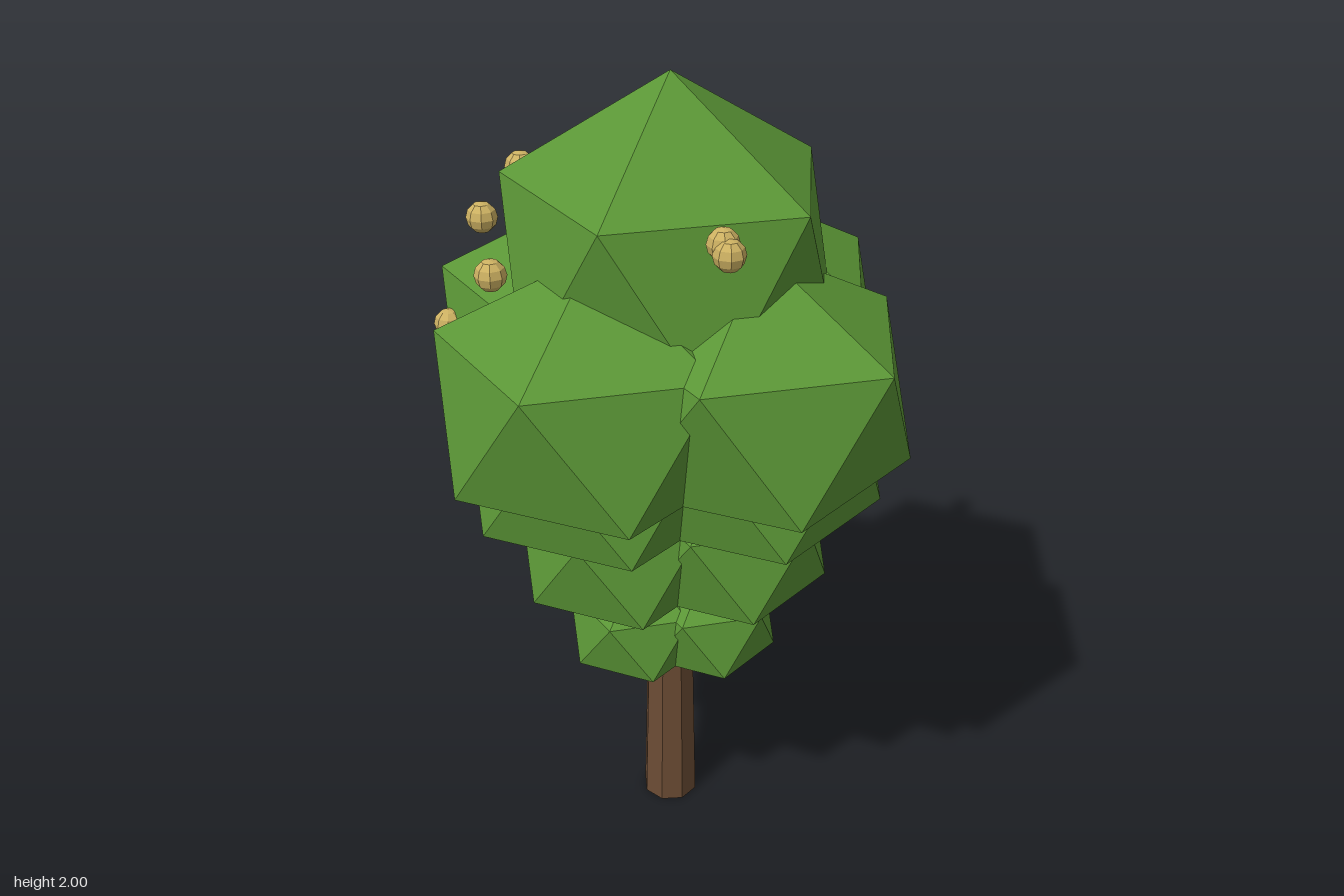
import * as THREE from 'three';
import { ConvexGeometry } from 'three/addons/geometries/ConvexGeometry.js';

function mat(name, color) {
  const m = new THREE.MeshStandardMaterial({ color, flatShading: true });
  m.name = name;
  return m;
}

// Twenty-sided clump with a point at the top and a ring corner towards +x
function clumpGeometry() {
  const h = 1 / Math.sqrt(5), r = 2 * h;
  const points = [new THREE.Vector3(0, 1, 0), new THREE.Vector3(0, -1, 0)];
  for (let i = 0; i < 5; i++) {
    const a = i * Math.PI * 2 / 5, b = a + Math.PI / 5;
    points.push(new THREE.Vector3(r * Math.cos(a), h, r * Math.sin(a)));
    points.push(new THREE.Vector3(r * Math.cos(b), -h, r * Math.sin(b)));
  }
  return new ConvexGeometry(points);
}

export function createModel() {
  const tree = new THREE.Group();
  tree.name = 'tree';
  const bark = mat('bark', 0x6b4c34);
  const leaf = mat('leafGreen', 0x5b9636);
  const gold = mat('fruitGold', 0xcdb162);
  const red = mat('berryRed', 0x6b2f24);

  function add(name, geometry, material, x, y, z) {
    const mesh = new THREE.Mesh(geometry, material);
    mesh.name = name;
    mesh.position.set(x, y, z);
    tree.add(mesh);
    return mesh;
  }

  // Tapered eight-sided trunk
  const trunk = add('trunk', new THREE.CylinderGeometry(0.05, 0.073, 1, 8), bark, 0, 0.5, 0);
  trunk.rotation.y = Math.PI / 8;

  // Crown: one top clump over four tiers of four clumps
  const clump = clumpGeometry();
  add('crownTop', clump, leaf, 0, 1.57, 0).scale.setScalar(0.43);
  const tiers = [ // radius, distance from the axis, centre height
    [0.40, 0.26, 1.31],
    [0.35, 0.24, 1.171],
    [0.27, 0.183, 0.9],
    [0.19, 0.125, 0.627],
  ];
  tiers.forEach(([r, d, y], t) => {
    for (const [x, z] of [[1, 0], [-1, 0], [0, 1], [0, -1]]) {
      add('leafClumpTier' + (t + 1), clump, leaf, x * d, y, z * d).scale.set(r, r * 0.867, r);
    }
  });

  // Round golden fruit
  const fruit = new THREE.SphereGeometry(0.036, 8, 6);
  for (const p of [
    [-0.305, 1.76, 0.165], [-0.295, 1.68, 0.30], [-0.13, 1.63, 0.435],
    [0.305, 1.74, 0.19], [0.33, 1.725, 0.2], [-0.475, 1.355, 0.265],
    [-0.535, 1.455, -0.09], [-0.145, 1.715, -0.36],
  ]) add('fruit', fruit, gold, ...p);

  // Tiny dark berries
  const berry = new THREE.SphereGeometry(0.017, 8, 6);
  add('berry', berry, red, -0.255, 1.12, 0.36);
  add('berry', berry, red, 0.335, 1.045, -0.235);

  return tree;
}
